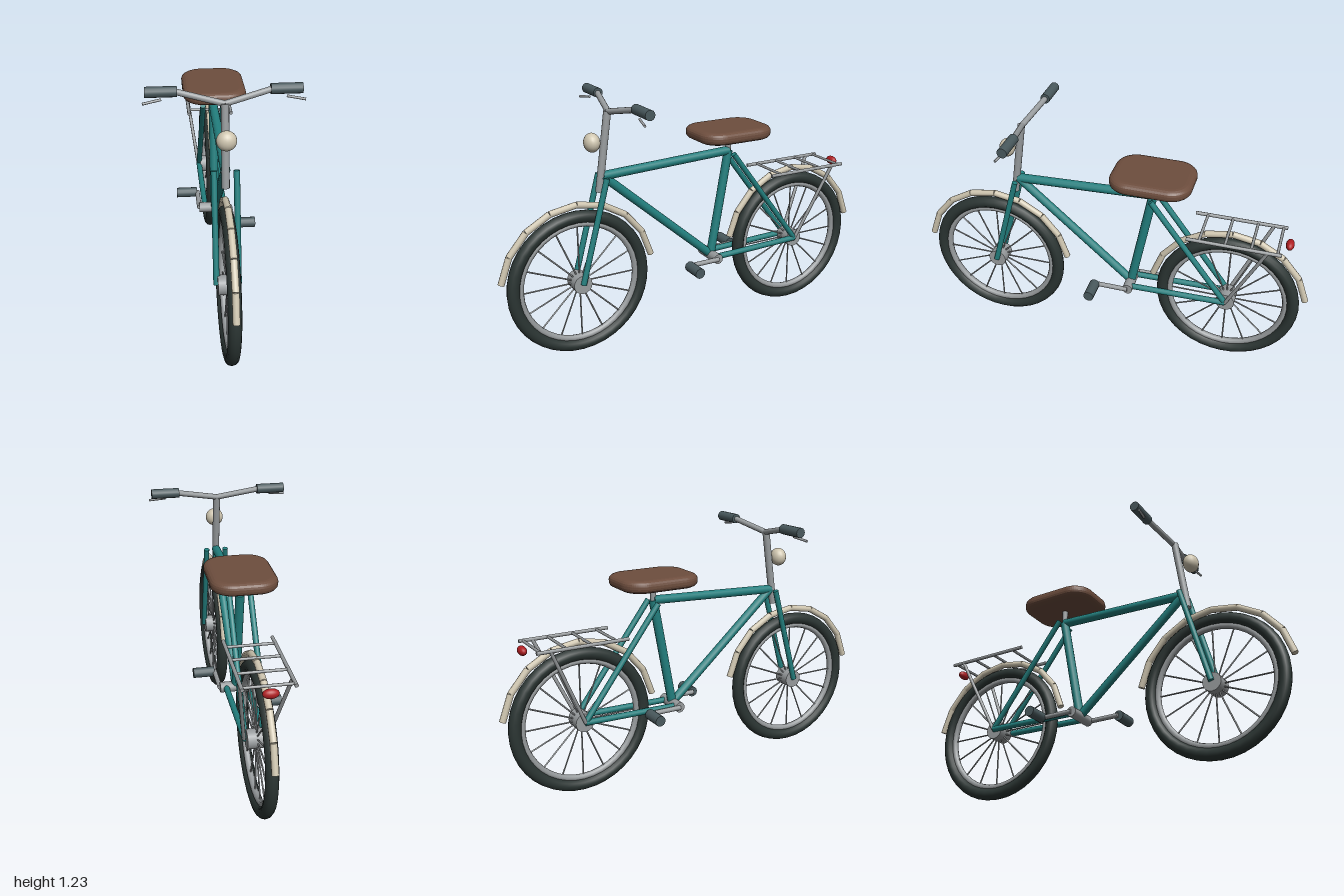
import * as THREE from 'three';

const mat = (name, color) => {
  const m = new THREE.MeshStandardMaterial({ color });
  m.name = name;
  return m;
};

export function createModel() {
  const teal = mat('teal paint', 0x23807f);
  const metal = mat('grey metal', 0x989c9e);
  const rubber = mat('tyre rubber', 0x2b3533);
  const grip = mat('slate rubber', 0x4a5a5e);
  const cream = mat('cream', 0xcfc6b0);
  const leather = mat('brown leather', 0x6e4e3e);
  const red = mat('red lens', 0xb01e22);

  const bike = new THREE.Group();
  bike.name = 'bicycle';

  const add = (name, geometry, material, parent = bike) => {
    const mesh = new THREE.Mesh(geometry, material);
    mesh.name = name;
    parent.add(mesh);
    return mesh;
  };

  // Straight round bar between two points
  const up = new THREE.Vector3(0, 1, 0);
  const bar = (name, a, b, r, material, parent = bike, sides = 12) => {
    const p = new THREE.Vector3(...a), q = new THREE.Vector3(...b);
    const dir = q.clone().sub(p);
    const mesh = add(name, new THREE.CylinderGeometry(r, r, dir.length(), sides), material, parent);
    mesh.position.copy(p).add(q).multiplyScalar(0.5);
    mesh.quaternion.setFromUnitVectors(up, dir.normalize());
    return mesh;
  };

  const ball = (name, position, scale, material) => {
    const mesh = add(name, new THREE.SphereGeometry(1, 20, 14), material);
    mesh.position.set(...position);
    mesh.scale.set(...scale);
  };

  // Wheels with mudguards
  const AXLE_Y = 0.357, AXLE_Z = 0.607;
  const makeWheel = (name, z) => {
    const wheel = new THREE.Group();
    wheel.name = name;
    wheel.position.set(0, AXLE_Y, z);
    bike.add(wheel);
    add('tyre', new THREE.TorusGeometry(0.326, 0.03, 12, 40), rubber, wheel).rotation.y = Math.PI / 2;
    add('rim', new THREE.TorusGeometry(0.291, 0.016, 8, 40), metal, wheel).rotation.y = Math.PI / 2;
    bar('hub', [-0.045, 0, 0], [0.045, 0, 0], 0.046, metal, wheel, 16);
    const spokes = 16;
    for (let i = 0; i < spokes; i++) {
      const a = (i / spokes) * Math.PI * 2, c = Math.cos(a), s = Math.sin(a);
      bar('spoke', [0, s * 0.03, c * 0.03], [0, s * 0.29, c * 0.29], 0.004, metal, wheel, 6);
    }
    const pieces = 8, R = 0.384;
    const point = (i) => {
      const a = THREE.MathUtils.degToRad(10 + (160 * i) / pieces);
      return [0, Math.sin(a) * R, Math.cos(a) * R];
    };
    for (let i = 0; i < pieces; i++) bar('mudguard piece', point(i), point(i + 1), 0.016, cream, wheel, 10);
  };
  makeWheel('front wheel', AXLE_Z);
  makeWheel('rear wheel', -AXLE_Z);

  // Frame
  const head = [0, 0.86, 0.47], seatTop = [0, 0.888, -0.214], crank = [0, 0.35, -0.115];
  bar('top tube', head, seatTop, 0.022, teal);
  bar('down tube', head, crank, 0.021, teal);
  bar('seat tube', crank, seatTop, 0.022, teal);
  bar('bottom bracket', [-0.08, 0.348, -0.115], [0.08, 0.348, -0.115], 0.026, metal);
  for (const s of [-1, 1]) {
    const x = s * 0.05;
    bar('fork leg', [x, 0.36, AXLE_Z], [x, 0.86, 0.47], 0.014, teal);
    bar('seat stay', [x, 0.36, -AXLE_Z], [x, 0.88, -0.214], 0.014, teal);
    bar('chain stay', [x, 0.36, -AXLE_Z], [x, 0.35, -0.115], 0.015, teal);
  }

  // Steering stem, handlebar, grips and brake levers
  bar('stem', [0, 0.785, 0.49], [0, 1.16, 0.436], 0.018, metal);
  for (const s of [-1, 1]) {
    bar('handlebar', [0, 1.158, 0.432], [s * 0.21, 1.203, 0.39], 0.014, metal);
    bar('grip', [s * 0.2, 1.203, 0.39], [s * 0.338, 1.203, 0.39], 0.024, grip, bike, 14);
    bar('brake lever', [s * 0.268, 1.174, 0.405], [s * 0.348, 1.163, 0.421], 0.006, metal, bike, 8);
  }

  // Cranks and pedals: left one forward, right one backward
  for (const s of [-1, 1]) {
    const z = -0.115 + s * 0.17;
    bar('crank arm', [s * 0.08, 0.348, -0.115], [s * 0.08, 0.348, z], 0.012, metal);
    bar('pedal', [s * 0.083, 0.348, z], [s * 0.19, 0.348, z], 0.026, grip, bike, 14);
  }

  // Saddle: rounded rectangle with soft bevels
  const w = 0.122, l = 0.164, r = 0.07;
  const outline = new THREE.Shape();
  outline.absarc(w - r, l - r, r, 0, Math.PI / 2);
  outline.absarc(r - w, l - r, r, Math.PI / 2, Math.PI);
  outline.absarc(r - w, r - l, r, Math.PI, Math.PI * 1.5);
  outline.absarc(w - r, r - l, r, Math.PI * 1.5, Math.PI * 2);
  const saddle = add('saddle', new THREE.ExtrudeGeometry(outline, {
    depth: 0.012, bevelThickness: 0.024, bevelSize: 0.032, bevelSegments: 4, curveSegments: 8,
  }), leather);
  saddle.rotation.x = -Math.PI / 2;
  saddle.position.set(0, 0.98, -0.212);
  bar('seat post', [0, 0.87, -0.214], [0, 0.975, -0.214], 0.014, metal);

  // Luggage rack
  const rackY = 0.752, rackX = 0.112;
  for (const s of [-1, 1]) {
    bar('rack rail', [s * rackX, rackY, -0.405], [s * rackX, rackY, -0.85], 0.009, metal, bike, 8);
    bar('rack strut', [s * 0.055, 0.36, -AXLE_Z], [s * rackX, rackY, -0.785], 0.009, metal, bike, 8);
  }
  for (const z of [-0.465, -0.587, -0.709, -0.83])
    bar('rack crossbar', [-rackX, rackY, z], [rackX, rackY, z], 0.007, metal, bike, 8);

  // Lamps
  ball('headlamp', [0, 1.024, 0.517], [0.045, 0.045, 0.038], cream);
  ball('tail lamp', [0, 0.741, -0.875], [0.036, 0.022, 0.02], red);

  return bike;
}
